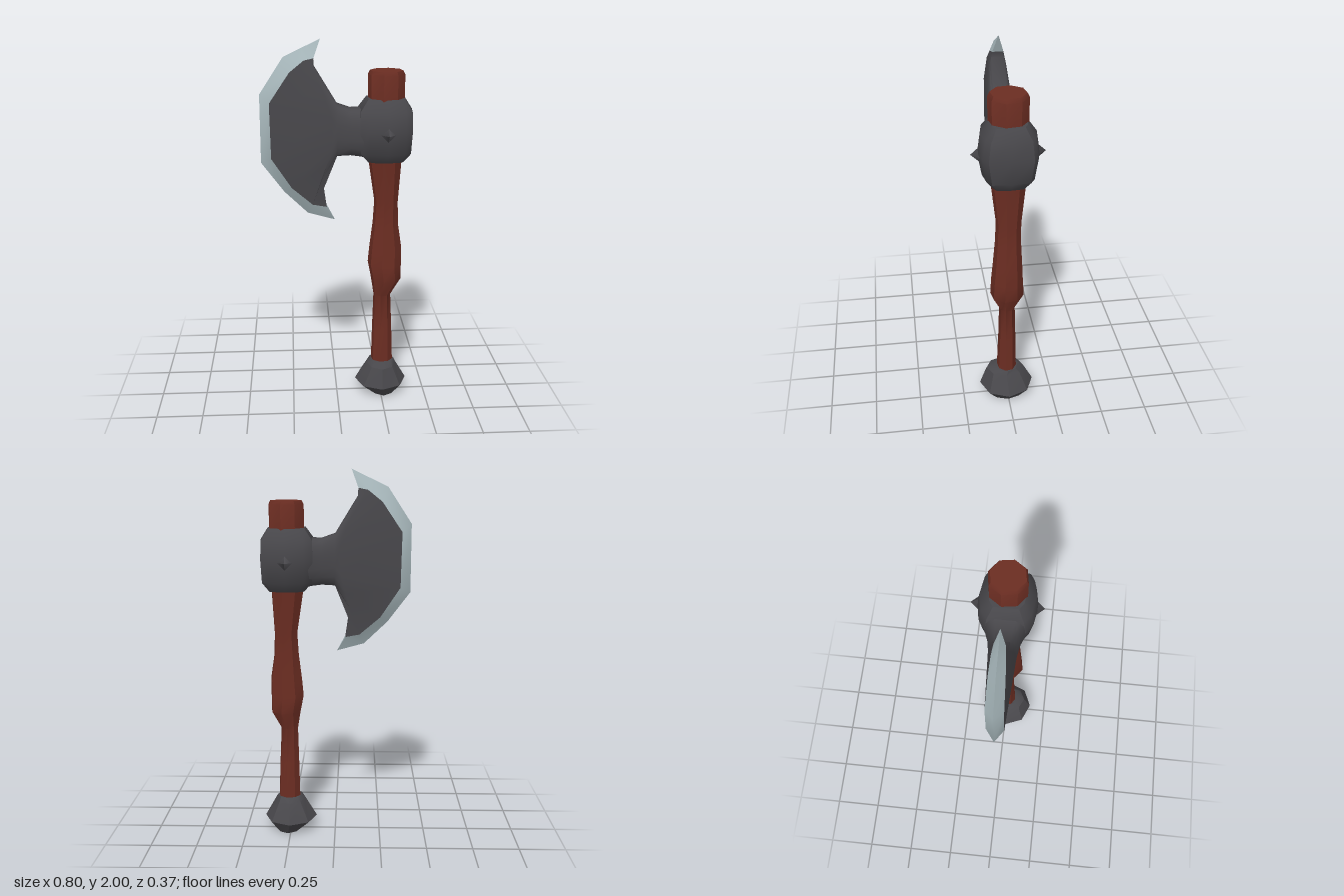
import * as THREE from 'three';
import { toCreasedNormals } from 'three/addons/utils/BufferGeometryUtils.js';

const iron = new THREE.MeshStandardMaterial({ color: 0x48474b });
iron.name = 'dark iron';
const wood = new THREE.MeshStandardMaterial({ color: 0x6b2d22 });
wood.name = 'red wood';
const steel = new THREE.MeshStandardMaterial({ color: 0xa8b8bc });
steel.name = 'pale steel';

function meshFromTriangles(name, tris, material, crease) {
  const g = new THREE.BufferGeometry();
  g.setAttribute('position', new THREE.Float32BufferAttribute(tris.flat(2), 3));
  const mesh = new THREE.Mesh(toCreasedNormals(g, crease), material);
  mesh.name = name;
  return mesh;
}

// Closed skin over horizontal rings, listed from the bottom up
function loft(name, rings, material, crease) {
  const tris = [];
  const n = rings[0].length;
  const middle = (ring) => [0, 1, 2].map((k) => ring.reduce((s, p) => s + p[k], 0) / n);
  const last = rings[rings.length - 1];
  const low = middle(rings[0]);
  const high = middle(last);
  for (let j = 0; j < n; j++) {
    const k = (j + 1) % n;
    for (let i = 0; i < rings.length - 1; i++) {
      const a = rings[i][j], b = rings[i][k], c = rings[i + 1][j], d = rings[i + 1][k];
      tris.push([a, c, b], [b, c, d]);
    }
    tris.push([low, rings[0][j], rings[0][k]], [high, last[k], last[j]]);
  }
  return meshFromTriangles(name, tris, material, crease);
}

// Ring of points fitted between x limits and z limits
function ring(y, x0, x1, z0, z1, sides, phase = 0) {
  return Array.from({ length: sides }, (_, i) => {
    const a = ((i + phase) / sides) * Math.PI * 2;
    return [(x0 + x1) / 2 + (Math.cos(a) * (x1 - x0)) / 2, y,
      (z0 + z1) / 2 + (Math.sin(a) * (z1 - z0)) / 2];
  });
}

// Two mirrored faces over a grid of [x, y, z] columns, closed at top and bottom
function doubleSheet(name, columns, material, crease) {
  const tris = [];
  const flip = ([x, y, z]) => [x, y, -z];
  const quad = (a, b, d, e) => tris.push([a, d, b], [b, d, e]);
  const rows = columns[0].length;
  for (let c = 0; c < columns.length - 1; c++) {
    const L = columns[c], R = columns[c + 1];
    for (let s = 0; s < rows - 1; s++) {
      quad(L[s], R[s], L[s + 1], R[s + 1]);
      quad(flip(R[s]), flip(L[s]), flip(R[s + 1]), flip(L[s + 1]));
    }
    quad(flip(L[0]), flip(R[0]), L[0], R[0]);
    const e = rows - 1;
    quad(L[e], R[e], flip(L[e]), flip(R[e]));
  }
  return meshFromTriangles(name, tris, material, crease);
}

export function createModel() {
  const model = new THREE.Group();
  model.name = 'battleAxe';

  // Carved handle: y, x limits, z limits
  const handle = [
    [0.15, 0.195, 0.32, -0.05, 0.06], [0.4, 0.2, 0.31, -0.045, 0.05],
    [0.6, 0.205, 0.3, -0.04, 0.045], [0.7, 0.188, 0.355, -0.085, 0.095],
    [0.79, 0.17, 0.355, -0.08, 0.088], [0.88, 0.178, 0.355, -0.075, 0.08],
    [1.02, 0.195, 0.333, -0.068, 0.068], [1.14, 0.202, 0.33, -0.067, 0.063],
    [1.38, 0.165, 0.345, -0.092, 0.09], [1.6, 0.16, 0.352, -0.1, 0.1],
    [1.82, 0.16, 0.353, -0.1, 0.1], [1.84, 0.17, 0.343, -0.09, 0.09],
  ].map((r) => ring(...r, 8, 0.3));
  model.add(loft('handle', handle, wood, 0.7));

  // Faceted pommel
  const pommel = [
    [0.0, 0.2, 0.33, -0.085, 0.09], [0.075, 0.105, 0.395, -0.145, 0.155],
    [0.18, 0.17, 0.335, -0.09, 0.115], [0.2, 0.19, 0.325, -0.06, 0.07],
  ].map((r) => ring(...r, 8));
  model.add(loft('pommel', pommel, iron, 0.6));

  // Collar around the handle, narrowing toward the blade
  const half = [[0.395, 0], [0.385, 0.11], [0.35, 0.135], [0.26, 0.152], [0.16, 0.135], [0.115, 0.1]];
  const outline = [...half, ...half.slice(1).reverse().map(([x, z]) => [x, -z])];
  const collar = [[1.37, 0.68, 0.6], [1.42, 0.96, 0.86], [1.54, 1, 1], [1.64, 0.98, 0.9], [1.7, 0.7, 0.62]]
    .map(([y, sx, sz]) => outline.map(([x, z]) => [0.26 + (x - 0.26) * sx, y, z * sz]));
  model.add(loft('collar', collar, iron, 0.7));

  // Small studs on both faces of the collar
  for (const side of [1, -1]) {
    const stud = new THREE.Mesh(new THREE.ConeGeometry(0.055, 0.06, 4), iron);
    stud.name = side > 0 ? 'frontStud' : 'backStud';
    stud.rotation.x = (side * Math.PI) / 2;
    stud.position.set(0.257, 1.53, side * 0.155);
    model.add(stud);
  }

  // Blade columns from the cutting edge to the collar, each from top to bottom
  const withDepth = (points, depths) => points.map(([x, y], i) => [x, y, depths[i]]);
  const edge = withDepth([[-0.085, 2], [-0.18, 1.955], [-0.275, 1.91], [-0.4, 1.72],
    [-0.4, 1.36], [-0.28, 1.2], [-0.155, 1.08], [-0.01, 1.04]], Array(8).fill(0));
  const bevel = withDepth([[-0.12, 1.905], [-0.17, 1.895], [-0.245, 1.835], [-0.35, 1.68],
    [-0.345, 1.39], [-0.24, 1.23], [-0.13, 1.135], [-0.055, 1.12]],
  [0.028, 0.034, 0.04, 0.045, 0.045, 0.04, 0.034, 0.028]);
  const cheek = withDepth([[-0.125, 1.875], [-0.115, 1.84], [-0.075, 1.74], [-0.03, 1.61],
    [-0.03, 1.46], [-0.055, 1.36], [-0.078, 1.28], [-0.072, 1.22]],
  [0.032, 0.042, 0.055, 0.066, 0.066, 0.055, 0.042, 0.034]);
  const neckColumn = (x, top, bottom, depth) => [0, 0.04, 0.18, 0.36, 0.64, 0.82, 0.96, 1].map((t, i) =>
    [x, top + (bottom - top) * t, depth * [0.5, 0.72, 0.92, 1, 1, 0.92, 0.72, 0.5][i]]);
  const neck = [neckColumn(0.0, 1.67, 1.4, 0.07), neckColumn(0.07, 1.645, 1.405, 0.082),
    neckColumn(0.12, 1.645, 1.4, 0.1), neckColumn(0.18, 1.67, 1.39, 0.13)];

  model.add(doubleSheet('cuttingEdge', [edge, bevel], steel, 0.6));
  model.add(doubleSheet('bladeBody', [bevel, cheek, ...neck], iron, 0.8));
  return model;
}
